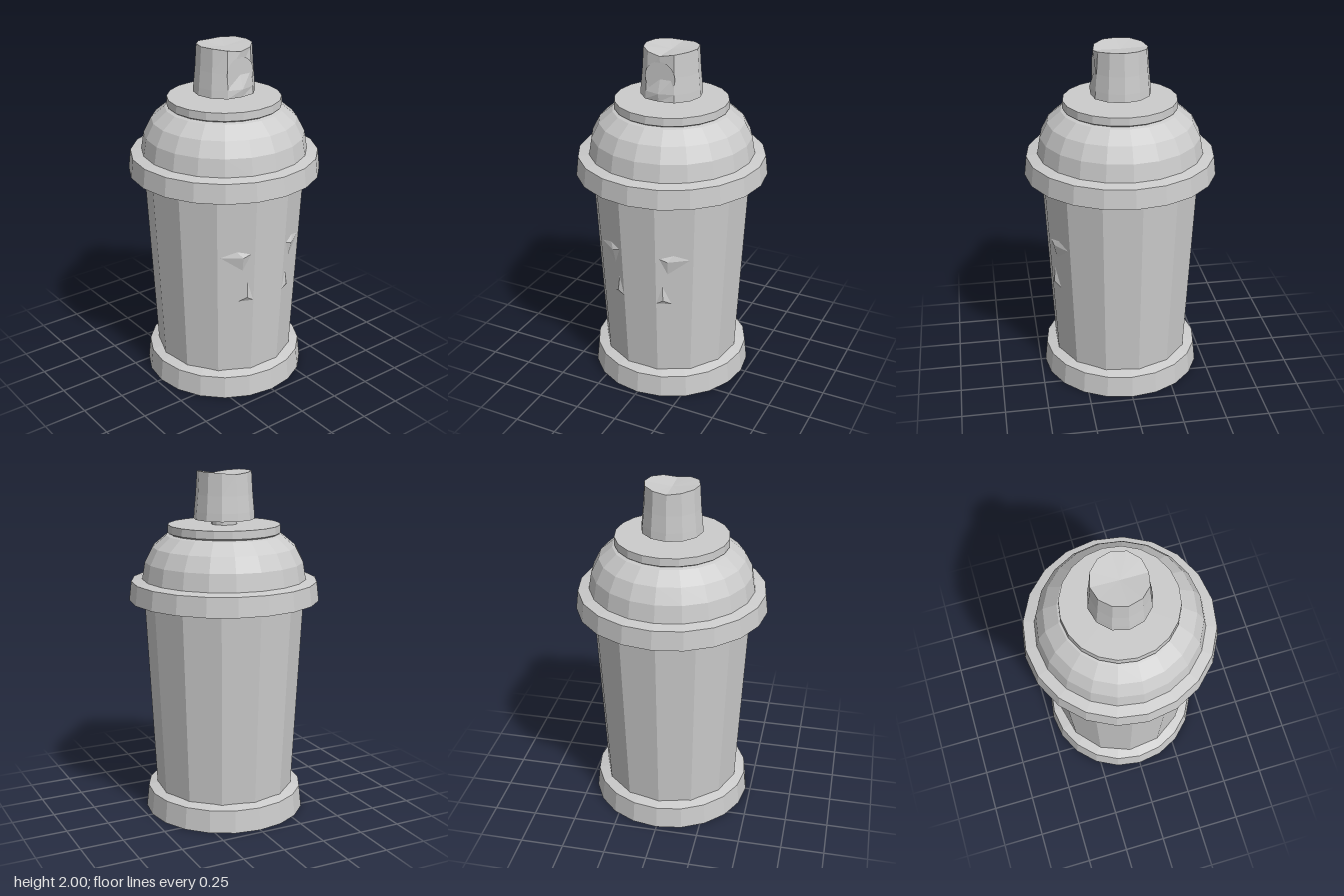
import * as THREE from 'three';

const material = new THREE.MeshStandardMaterial({ color: 0xcccccc, flatShading: true });
const doubleSided = new THREE.MeshStandardMaterial({ color: 0xcccccc, flatShading: true, side: THREE.DoubleSide });

function addPart(group, name, geometry, mat = material) {
  const flat = geometry.index ? geometry.toNonIndexed() : geometry;
  flat.computeVertexNormals();
  const mesh = new THREE.Mesh(flat, mat);
  mesh.name = name;
  group.add(mesh);
  return mesh;
}

// Faceted turned shape from [radius, height] pairs, listed bottom to top
function turned(profile, sides, start = 0) {
  return new THREE.LatheGeometry(profile.map(([r, y]) => new THREE.Vector2(r, y)), sides, start);
}

// Body: 13 sides with a flat panel facing forward
const SIDES = 13, STEP = (Math.PI * 2) / SIDES;
const BOTTOM = [0.405, 0.14], TOP = [0.462, 1.28];

// Point on the faceted body wall at angle a and height y, pushed out by lift
function wallPoint(a, y, lift) {
  const r = BOTTOM[0] + ((y - BOTTOM[1]) / (TOP[1] - BOTTOM[1])) * (TOP[0] - BOTTOM[0]);
  const offset = a - Math.round(a / STEP) * STEP;
  const d = (r * Math.cos(STEP / 2)) / Math.cos(offset) + lift;
  return [Math.sin(a) * d, y, Math.cos(a) * d];
}

// Shallow pyramid raised from the wall: outline of [x, y] points around a peak
function wallCrease(outline, peak, side) {
  const place = ([x, y], lift) => wallPoint(Math.asin((side * x) / 0.44), y, lift);
  const tip = place(peak, 0.014);
  const positions = [];
  outline.forEach((p, i) => {
    const q = outline[(i + 1) % outline.length];
    positions.push(...place(p, 0), ...place(q, 0), ...tip);
  });
  const geometry = new THREE.BufferGeometry();
  geometry.setAttribute('position', new THREE.Float32BufferAttribute(positions, 3));
  return geometry;
}

// Spray button: tapered 12-sided cap, saddle top and flattened front
function buttonGeometry() {
  const rows = [[0.175, 1.73, 0.165], [0.172, 1.775, 0.172], [0.163, 1.87, 0.141], [0.155, 2.0, 0.15]];
  const sides = 12, positions = [], index = [];
  for (const [r, y, front] of rows) {
    for (let i = 0; i < sides; i++) {
      const a = (i / sides) * Math.PI * 2;
      const x = Math.sin(a) * r;
      const dip = y > 1.9 ? 0.02 * Math.max(0, 1 - Math.abs(x) / 0.13) * (i === 0 || i > 9 || i < 3 ? 1 : 0.6) : 0;
      positions.push(x, y - dip, i === 0 ? front : Math.cos(a) * r);
    }
  }
  const bottom = positions.length / 3, top = bottom + 1, last = (rows.length - 1) * sides;
  positions.push(0, 1.73, 0, 0, 1.98, 0);
  for (let i = 0; i < sides; i++) {
    const j = (i + 1) % sides;
    for (let k = 0; k < last; k += sides) {
      index.push(k + i, k + j, k + sides + j, k + i, k + sides + j, k + sides + i);
    }
    index.push(bottom, j, i, top, last + i, last + j);
  }
  const geometry = new THREE.BufferGeometry();
  geometry.setAttribute('position', new THREE.Float32BufferAttribute(positions, 3));
  geometry.setIndex(index);
  return geometry;
}

export function createModel() {
  const model = new THREE.Group();
  model.name = 'sprayCan';

  addPart(model, 'baseRing', turned([[0, 0], [0.472, 0], [0.458, 0.13], [0.4, 0.145], [0, 0.145]], 20));
  addPart(model, 'body', turned([BOTTOM, TOP], SIDES, STEP / 2));

  // Small mirrored creases pressed into the front of the body
  const creases = new THREE.Group();
  creases.name = 'bodyCreases';
  for (const side of [-1, 1]) {
    addPart(creases, 'upperCrease', wallCrease([[0.07, 0.93], [0.17, 0.81], [0.28, 0.9], [0.2, 0.93]], [0.17, 0.895], side), doubleSided);
    addPart(creases, 'lowerCrease', wallCrease([[0.1, 0.61], [0.19, 0.61], [0.14, 0.73]], [0.145, 0.64], side), doubleSided);
  }
  model.add(creases);

  addPart(model, 'collar', turned([[0, 1.27], [0.55, 1.27], [0.537, 1.38], [0.465, 1.393]], 20));
  addPart(model, 'shoulder', turned([
    [0.475, 1.385], [0.457, 1.49], [0.413, 1.575], [0.335, 1.64], [0.31, 1.647],
  ], 20));
  addPart(model, 'neckRim', turned([[0.31, 1.645], [0.325, 1.655], [0.323, 1.7], [0, 1.7]], 20));

  addPart(model, 'stem', new THREE.CylinderGeometry(0.075, 0.075, 0.06, 12).translate(0, 1.72, 0));
  addPart(model, 'sprayButton', buttonGeometry());
  const outlet = addPart(model, 'sprayOutlet', new THREE.CircleGeometry(0.09, 24), doubleSided);
  outlet.position.set(0, 1.86, 0.147);

  return model;
}
